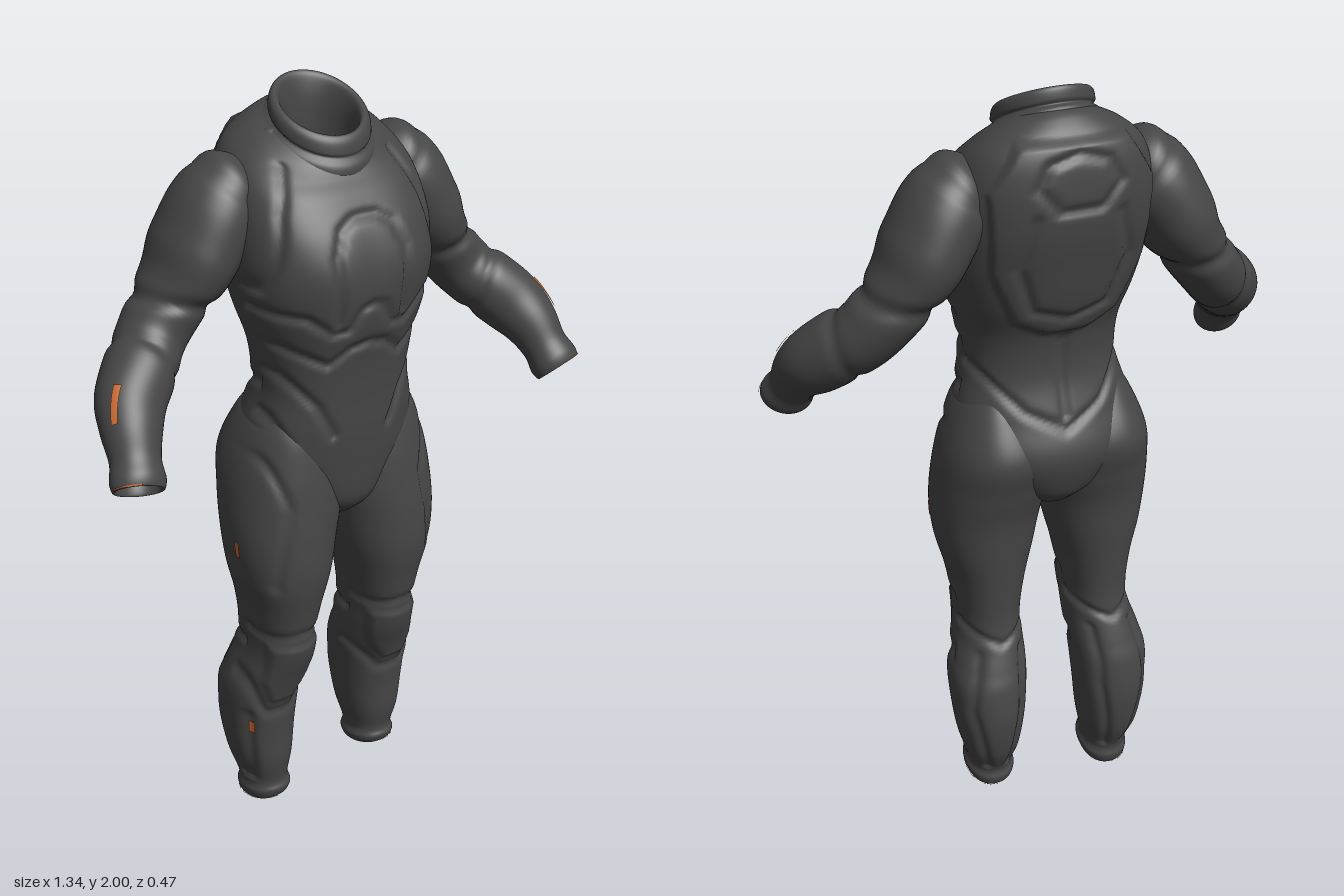
import * as THREE from 'three';

const suit = new THREE.MeshStandardMaterial({ color: 0x464646, side: THREE.DoubleSide });
suit.name = 'charcoal suit';
const orange = new THREE.MeshStandardMaterial({ color: 0xc8672f, side: THREE.DoubleSide });
orange.name = 'orange marking';

// Smooth interpolation through a table of cross-sections, t from 0 to 1
function sample(rows, t) {
  const n = rows.length - 1, f = Math.min(Math.max(t, 0), 1) * n;
  const i = Math.min(Math.floor(f), n - 1), k = f - i;
  const a = rows[Math.max(i - 1, 0)], b = rows[i], c = rows[i + 1], d = rows[Math.min(i + 2, n)];
  return b.map((p, j) => {
    const m0 = (c[j] - a[j]) / 2, m1 = (d[j] - p) / 2, k2 = k * k, k3 = k2 * k;
    return (2 * k3 - 3 * k2 + 1) * p + (k3 - 2 * k2 + k) * m0 + (3 * k2 - 2 * k3) * c[j] + (k3 - k2) * m1;
  });
}

// Surface from point(angle, v); the range is closed when it spans a full turn
function surface(name, point, nu, nv, side = 1, mat = suit, [u0, u1, v0, v1] = [0, 1, 0, 1]) {
  const pos = [], idx = [], closed = u1 - u0 === 1, cols = closed ? nu : nu + 1;
  for (let j = 0; j <= nv; j++) for (let i = 0; i < cols; i++) {
    const p = point((u0 + (u1 - u0) * i / nu) * Math.PI * 2, v0 + (v1 - v0) * j / nv);
    pos.push(p.x * side, p.y, p.z);
  }
  for (let j = 0; j < nv; j++) for (let i = 0; i < nu; i++) {
    const a = j * cols + i, b = j * cols + (i + 1) % cols, c = b + cols, d = a + cols;
    if (side > 0) idx.push(a, b, c, a, c, d);
    else idx.push(a, c, b, a, d, c);
  }
  const g = new THREE.BufferGeometry();
  g.setAttribute('position', new THREE.Float32BufferAttribute(pos, 3));
  g.setIndex(idx);
  g.computeVertexNormals();
  const m = new THREE.Mesh(g, mat);
  m.name = name;
  return m;
}

// Relief: seams cut along polylines, plates raised inside polygons
function lineDistance(x, y, line) {
  let best = 9;
  for (let i = 0; i + 1 < line.length; i++) {
    const [ax, ay] = line[i], dx = line[i + 1][0] - ax, dy = line[i + 1][1] - ay;
    const k = Math.min(Math.max(((x - ax) * dx + (y - ay) * dy) / (dx * dx + dy * dy), 0), 1);
    best = Math.min(best, Math.hypot(x - ax - dx * k, y - ay - dy * k));
  }
  return best;
}
const bump = (d, w) => Math.exp(-((d / w) ** 2));
const seams = (x, y, lines, depth, width) =>
  -depth * Math.max(0, ...lines.map(l => bump(lineDistance(x, y, l), width)));
function plate(x, y, poly, height) {
  let inside = false;
  poly.forEach(([ax, ay], i) => {
    const [bx, by] = poly[(i + 1) % poly.length];
    if ((ay > y) !== (by > y) && x < (bx - ax) * (y - ay) / (by - ay) + ax) inside = !inside;
  });
  return inside ? height * Math.min(1, lineDistance(x, y, [...poly, poly[0]]) / 0.015) : 0;
}
const power = (c, e) => Math.sign(c) * Math.abs(c) ** (2 / e);

// Torso: y, half width, front z, back z, squareness, tilt
const torsoRows = [
  [0.91, 0, 0.005, 0.005, 2, 0], [0.92, 0.05, 0.08, -0.075, 2, 0], [0.95, 0.095, 0.13, -0.125, 2, 0],
  [1.0, 0.16, 0.165, -0.163, 2.1, 0], [1.1, 0.23, 0.18, -0.188, 2.2, 0], [1.2, 0.222, 0.19, -0.155, 2.3, 0],
  [1.3, 0.197, 0.195, -0.125, 2.3, 0], [1.4, 0.203, 0.205, -0.13, 2.3, 0], [1.5, 0.23, 0.225, -0.165, 2.4, 0],
  [1.6, 0.25, 0.228, -0.19, 2.5, 0], [1.7, 0.25, 0.205, -0.212, 2.6, 0.03], [1.79, 0.238, 0.16, -0.215, 2.6, 0.1],
  [1.85, 0.213, 0.127, -0.2, 2.4, 0.25], [1.888, 0.165, 0.11, -0.16, 2.1, 0.4], [1.908, 0.112, 0.1, -0.12, 2, 0.48]];
const frontSeams = [
  [[0.09, 1.5], [0.092, 1.66], [0.07, 1.715], [0.035, 1.735], [0, 1.738]],
  [[0, 1.54], [0.03, 1.53], [0.06, 1.48], [0.1, 1.475], [0.16, 1.52], [0.24, 1.53]],
  [[0, 1.44], [0.05, 1.43], [0.1, 1.39], [0.2, 1.44]],
  [[0.15, 1.84], [0.19, 1.75], [0.21, 1.66], [0.24, 1.58]],
  [[0.19, 1.36], [0.12, 1.28], [0.08, 1.2]],
  [[0.21, 1.25], [0.15, 1.1], [0.07, 0.95]]];
const backPlate = [[-0.13, 1.91], [0.13, 1.91], [0.2, 1.8], [0.19, 1.6], [0.13, 1.46], [0.05, 1.42],
  [-0.05, 1.42], [-0.13, 1.46], [-0.19, 1.6], [-0.2, 1.8]];
const backSeams = [
  [[0, 1.88], [0.07, 1.86], [0.095, 1.81], [0.05, 1.755], [0, 1.755]],
  [[0.1, 1.74], [0.13, 1.62], [0.09, 1.5], [0, 1.47]],
  [[0, 1.4], [0, 1.2]], [[0.2, 1.32], [0.1, 1.22], [0, 1.17]]];
function torso(a, v) {
  const [y, w, zf, zb, e, tilt] = sample(torsoRows, v), cz = (zf + zb) / 2;
  const x = w * power(Math.sin(a), e), z = cz + power(Math.cos(a), e) * (zf - zb) / 2;
  const py = y + tilt * (cz - z), front = Math.cos(a) > 0;
  let d = 0;
  if (v > 0.08) d += seams(Math.abs(x), py, front ? frontSeams : backSeams, 0.01, 0.011);
  if (front) d += 0.008 * bump(Math.hypot(Math.abs(x) - 0.1, py - 1.62), 0.08);
  else d += plate(x, py, backPlate, 0.016);
  return new THREE.Vector3(x + d * Math.sin(a), py, z + d * Math.cos(a));
}

// Collar: outside up, over the rim and down the inside
const collarRows = [
  [1.85, 0.118, 0.112, -0.125], [1.87, 0.13, 0.122, -0.137], [1.895, 0.13, 0.12, -0.135], [1.908, 0.115, 0.108, -0.12],
  [1.918, 0.12, 0.11, -0.122], [1.94, 0.116, 0.106, -0.117], [1.95, 0.104, 0.096, -0.108], [1.938, 0.092, 0.086, -0.098],
  [1.89, 0.085, 0.08, -0.09], [1.8, 0.085, 0.08, -0.09]];
function collar(a, v) {
  const [y, w, zf, zb] = sample(collarRows, v), cz = (zf + zb) / 2;
  const z = cz + Math.cos(a) * (zf - zb) / 2;
  return new THREE.Vector3(w * Math.sin(a), y + 0.5 * (cz - z), z);
}

// Leg from the inside of the ankle opening to the hip: y, inner x, outer x, front z, back z
const legRows = [
  [0.16, 0.13, 0.22, 0.03, -0.08], [0.085, 0.13, 0.225, 0.035, -0.085], [0.07, 0.118, 0.235, 0.045, -0.1],
  [0.095, 0.108, 0.243, 0.057, -0.112], [0.125, 0.115, 0.238, 0.05, -0.11], [0.2, 0.1, 0.26, 0.065, -0.15],
  [0.3, 0.087, 0.276, 0.07, -0.17], [0.4, 0.077, 0.281, 0.083, -0.163], [0.46, 0.072, 0.267, 0.102, -0.142],
  [0.53, 0.072, 0.245, 0.13, -0.115], [0.6, 0.072, 0.24, 0.148, -0.105], [0.7, 0.055, 0.253, 0.168, -0.11],
  [0.8, 0.03, 0.277, 0.187, -0.12], [0.9, 0.01, 0.288, 0.188, -0.13], [1.0, -0.01, 0.283, 0.182, -0.155],
  [1.1, 0.0, 0.265, 0.17, -0.175], [1.2, 0.05, 0.226, 0.145, -0.125], [1.26, 0.08, 0.185, 0.1, -0.08]];
const kneePad = [[-0.075, 0.6], [0.075, 0.6], [0.07, 0.47], [0.035, 0.4], [-0.035, 0.4], [-0.07, 0.47]];
const shinSeams = [[[-0.1, 0.62], [0, 0.635], [0.1, 0.62]], [[-0.11, 0.46], [-0.04, 0.37], [0.04, 0.37], [0.11, 0.5]],
  [[0.075, 0.36], [0.06, 0.13]], [[0.1, 1.14], [0.06, 1.02], [0.08, 0.8]]];
const calfSeams = [[[-0.1, 0.57], [0, 0.53], [0.1, 0.57]], [[0.06, 0.5], [0.075, 0.35], [0.03, 0.14]],
  [[-0.06, 0.5], [-0.065, 0.35], [-0.03, 0.14]]];
const leg = (drop, lift = 0) => (a, v) => {
  const [y, xi, xo, zf, zb] = sample(legRows, v), cx = (xi + xo) / 2, cz = (zf + zb) / 2;
  const x = cx + power(Math.sin(a), 2.2) * (xo - xi) / 2, z = cz + power(Math.cos(a), 2.2) * (zf - zb) / 2;
  const front = Math.cos(a) > 0;
  let d = lift;
  if (v > 0.24) d += seams(x - cx, y, front ? shinSeams : calfSeams, 0.009, 0.011);
  if (front) d += plate(x - cx, y, kneePad, 0.01);
  const py = y + 0.3 * (z - cz) * Math.max(0, 1 - y / 0.25) - drop * Math.max(0, 1 - y / 0.5);
  return new THREE.Vector3(x + d * Math.sin(a), py, z + d * Math.cos(a));
};

// Arm from the inside of the cuff to the shoulder: centre x, y, z, then two radii
const armRows = [
  [0.585, 1.27, 0.155, 0.045, 0.045], [0.6, 1.23, 0.187, 0.05, 0.045], [0.606, 1.217, 0.197, 0.06, 0.05],
  [0.6, 1.235, 0.182, 0.066, 0.058], [0.59, 1.27, 0.154, 0.06, 0.056], [0.575, 1.32, 0.112, 0.072, 0.068],
  [0.55, 1.365, 0.062, 0.084, 0.08], [0.5, 1.415, 0.015, 0.086, 0.088], [0.45, 1.46, -0.03, 0.081, 0.086],
  [0.397, 1.525, -0.05, 0.084, 0.1], [0.348, 1.59, -0.053, 0.084, 0.118], [0.307, 1.66, -0.053, 0.096, 0.128],
  [0.258, 1.74, -0.05, 0.103, 0.122], [0.21, 1.795, -0.05, 0.082, 0.092], [0.15, 1.81, -0.05, 0.03, 0.03]];
const arm = (lift = 0) => (a, v) => {
  const [x, y, z, rx, rz] = sample(armRows, v), t = Math.min(Math.max(v, 0.32), 0.93);
  const p0 = sample(armRows, t - 0.05), p1 = sample(armRows, t + 0.05);
  const T = new THREE.Vector3(p1[0] - p0[0], p1[1] - p0[1], p1[2] - p0[2]).normalize();
  const Z = new THREE.Vector3(0, 0, 1).addScaledVector(T, -T.z).normalize();
  const X = new THREE.Vector3().crossVectors(T, Z);
  // Seams under the shoulder cap, at the elbow and above the cuff
  const s = Math.sin(a), d = lift - 0.012 * bump(v - 0.665 + 0.03 * s, 0.018) - 0.007 * bump(v - 0.52 - 0.02 * s, 0.015)
    - 0.005 * bump(v - 0.9, 0.012) + 0.008 * bump(v - 0.75, 0.06);
  return new THREE.Vector3(x, y, z).addScaledVector(X, s * (rx + d)).addScaledVector(Z, Math.cos(a) * (rz + d));
};

export function createModel() {
  const model = new THREE.Group();
  model.name = 'bodysuit';
  model.add(surface('torso', torso, 160, 180), surface('collar', collar, 64, 50));
  for (const side of [1, -1]) {
    const label = side > 0 ? 'left' : 'right', drop = side > 0 ? 0.012 : 0.062;
    const mark = (name, fn, range) => model.add(surface(label + name, fn, 10, 6, side, orange, range));
    model.add(surface(label + 'Leg', leg(drop), 80, 150, side), surface(label + 'Arm', arm(), 64, 110, side));
    // Small orange markings on forearm and thigh, thin edging at the openings
    mark('ForearmMark', arm(0.004), [0.15, 0.185, 0.355, 0.43]);
    mark('ThighMark', leg(drop, 0.003), [0.216, 0.231, 0.745, 0.77]);
    mark('CuffEdge', arm(0.003), [0.05, 0.25, 0.15, 0.165]);
    mark('AnkleEdge', leg(drop, 0.003), [0, 0.5, 0.12, 0.135]);
    mark('AnkleLining', leg(drop, -0.003), [-0.1, 0.1, 0.07, 0.105]);
    if (side < 0) mark('ShinMark', leg(drop, 0.004), [0.105, 0.135, 0.355, 0.375]);
  }
  return model;
}
